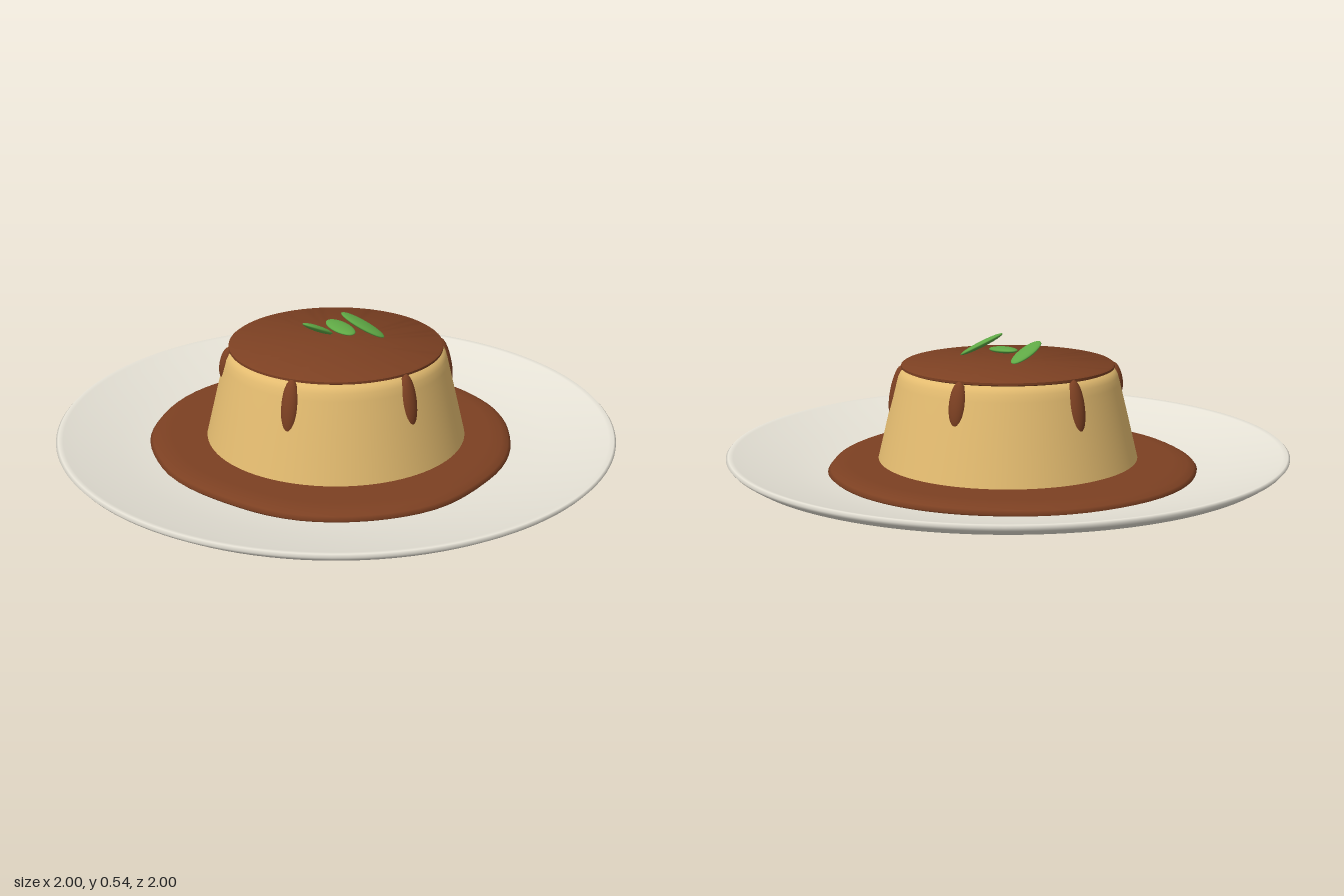
import * as THREE from 'three';
import { mergeVertices, toCreasedNormals } from 'three/addons/utils/BufferGeometryUtils.js';

const material = (name, color) => {
  const m = new THREE.MeshStandardMaterial({ color });
  m.name = name;
  return m;
};

const lathe = (points, segments = 96) =>
  new THREE.LatheGeometry(points.map(([r, y]) => new THREE.Vector2(r, y)), segments);

// Pool of sauce: a thin rounded disc whose outline wanders with the angle
function poolGeometry() {
  const radii = [0.66, 0.635, 0.635, 0.655, 0.66, 0.66, 0.68, 0.69, 0.68, 0.66, 0.64, 0.66];
  const profile = [[0, 0.05], [0.93, 0.05], [0.985, 0.058], [1, 0.068], [0.985, 0.08], [0.95, 0.09], [0.88, 0.095], [0, 0.097]];
  const g = lathe(profile, 72);
  g.deleteAttribute('uv');
  g.deleteAttribute('normal');
  const p = g.attributes.position;
  for (let i = 0; i < p.count; i++) {
    const x = p.getX(i), z = p.getZ(i);
    const turn = ((Math.atan2(x, z) / (2 * Math.PI) + 1) % 1) * radii.length;
    const k = Math.floor(turn), t = (1 - Math.cos((turn - k) * Math.PI)) / 2;
    const r = THREE.MathUtils.lerp(radii[k % radii.length], radii[(k + 1) % radii.length], t);
    p.setX(i, x * r);
    p.setZ(i, z * r);
  }
  const merged = mergeVertices(g, 1e-4);
  merged.computeVertexNormals();
  return merged;
}

export function createModel() {
  const model = new THREE.Group();
  model.name = 'custardDessert';
  const china = material('china', 0xe8e4d8);
  const custard = material('custard', 0xe4bc70);
  const caramel = material('caramel', 0x7c4022);
  const mint = material('mint', 0x5fa845);

  const add = (name, geometry, mat, parent = model) => {
    const mesh = new THREE.Mesh(geometry, mat);
    mesh.name = name;
    parent.add(mesh);
    return mesh;
  };

  // Shallow plate with a flat foot and a thin raised rim
  add('plate', lathe([
    [0, 0], [0.61, 0], [0.96, 0.1], [0.99, 0.12], [1, 0.132], [0.992, 0.14],
    [0.975, 0.137], [0.93, 0.122], [0.78, 0.085], [0.62, 0.055], [0.5, 0.05], [0, 0.05],
  ], 128), china);

  add('saucePool', poolGeometry(), caramel);

  // Tapered custard with a rounded shoulder
  add('custardBody', lathe([
    [0.476, 0.06], [0.467, 0.098], [0.43, 0.25], [0.4, 0.37],
    [0.393, 0.395], [0.383, 0.413], [0.365, 0.424], [0.34, 0.428], [0, 0.428],
  ]), custard);

  // Caramel layer on top
  add('caramelTop', toCreasedNormals(lathe([
    [0, 0.42], [0.372, 0.42], [0.381, 0.424], [0.381, 0.432], [0.374, 0.437], [0, 0.437],
  ]), 0.8), caramel);

  // Drips evenly spaced round the side, leaning with the taper
  const drips = new THREE.Group();
  drips.name = 'drips';
  model.add(drips);
  const drop = new THREE.SphereGeometry(1, 24, 16);
  const halfHeights = [0.095, 0.095, 0.08, 0.095, 0.06, 0.095];
  halfHeights.forEach((h, i) => {
    const holder = new THREE.Group();
    holder.name = 'dripHolder';
    holder.rotation.y = THREE.MathUtils.degToRad(13 + 60 * i);
    drips.add(holder);
    const drip = add('drip', drop, caramel, holder);
    drip.scale.set(0.031, h, 0.024);
    const y = 0.432 - h;
    drip.position.set(0, y, 0.398 + (0.337 - y) * 0.2);
    drip.rotation.x = -0.2;
  });

  // Mint leaves, each a flat ellipsoid lying between two tips
  const leaves = new THREE.Group();
  leaves.name = 'mintSprig';
  model.add(leaves);
  const leafShape = new THREE.SphereGeometry(1, 24, 16);
  [
    [[-0.112, 0.508, -0.025], [0.012, 0.442, -0.072], 0.036],
    [[0.01, 0.488, -0.085], [0.032, 0.478, 0.07], 0.038],
    [[0.02, 0.54, 0], [0.148, 0.458, 0.088], 0.038],
  ].forEach(([from, to, halfWidth]) => {
    const a = new THREE.Vector3(...from), b = new THREE.Vector3(...to);
    const along = b.clone().sub(a);
    const length = along.length();
    along.normalize();
    const side = new THREE.Vector3(0, 1, 0).cross(along).normalize();
    const normal = along.clone().cross(side);
    const leaf = add('mintLeaf', leafShape, mint, leaves);
    leaf.position.copy(a).add(b).multiplyScalar(0.5);
    leaf.quaternion.setFromRotationMatrix(new THREE.Matrix4().makeBasis(side, normal, along));
    leaf.scale.set(halfWidth, 0.011, length / 2);
  });

  return model;
}
